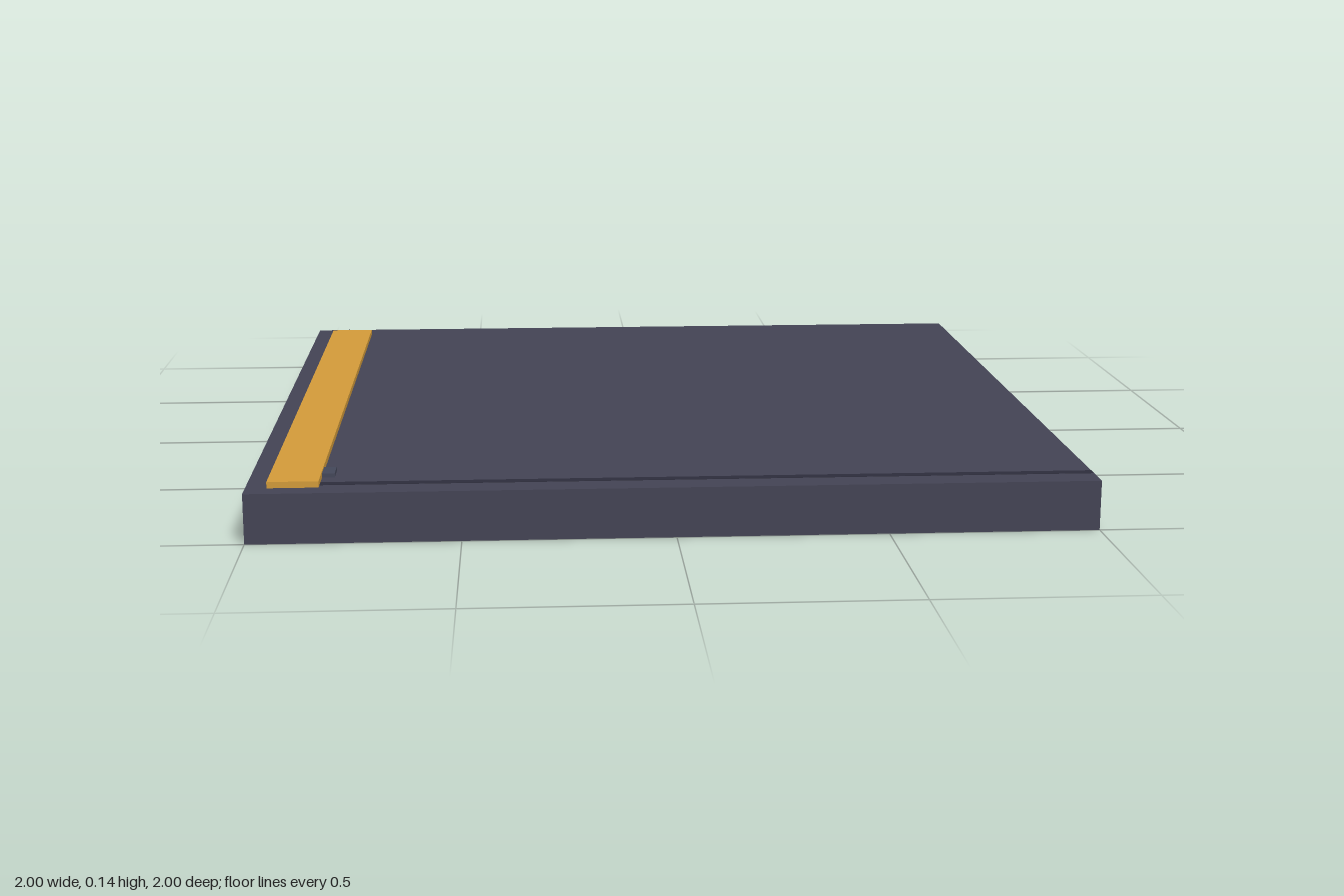
import * as THREE from 'three';

// Box given by its min and max corners
function block(name, color, [x0, y0, z0], [x1, y1, z1]) {
  const geometry = new THREE.BoxGeometry(x1 - x0, y1 - y0, z1 - z0);
  geometry.translate((x0 + x1) / 2, (y0 + y1) / 2, (z0 + z1) / 2);
  const mesh = new THREE.Mesh(geometry, new THREE.MeshStandardMaterial({ color }));
  mesh.name = name;
  return mesh;
}

export function createModel() {
  const group = new THREE.Group();
  group.name = 'floorTile';
  const top = 0.12;

  // Square base slab
  group.add(block('slab', 0x444455, [-1, 0, -1], [1, top, 1]));

  // Dark seam lines meeting at the front corner, nearly flush with the slab
  const seam = 0x2d2d3c;
  group.add(block('frontSeam', seam, [-0.93, top - 0.01, 0.905], [1, top + 0.001, 0.93]));
  group.add(block('sideSeam', seam, [-0.93, top - 0.01, -1], [-0.905, top + 0.001, 0.905]));

  // Raised marking strip along the side
  group.add(block('markingStrip', 0xd49c3a, [-0.95, top, -0.92], [-0.83, 0.135, 0.95]));

  // Small tab beside the strip
  group.add(block('tab', 0x44485a, [-0.86, top, 0.8], [-0.8, 0.13, 0.86]));

  return group;
}
